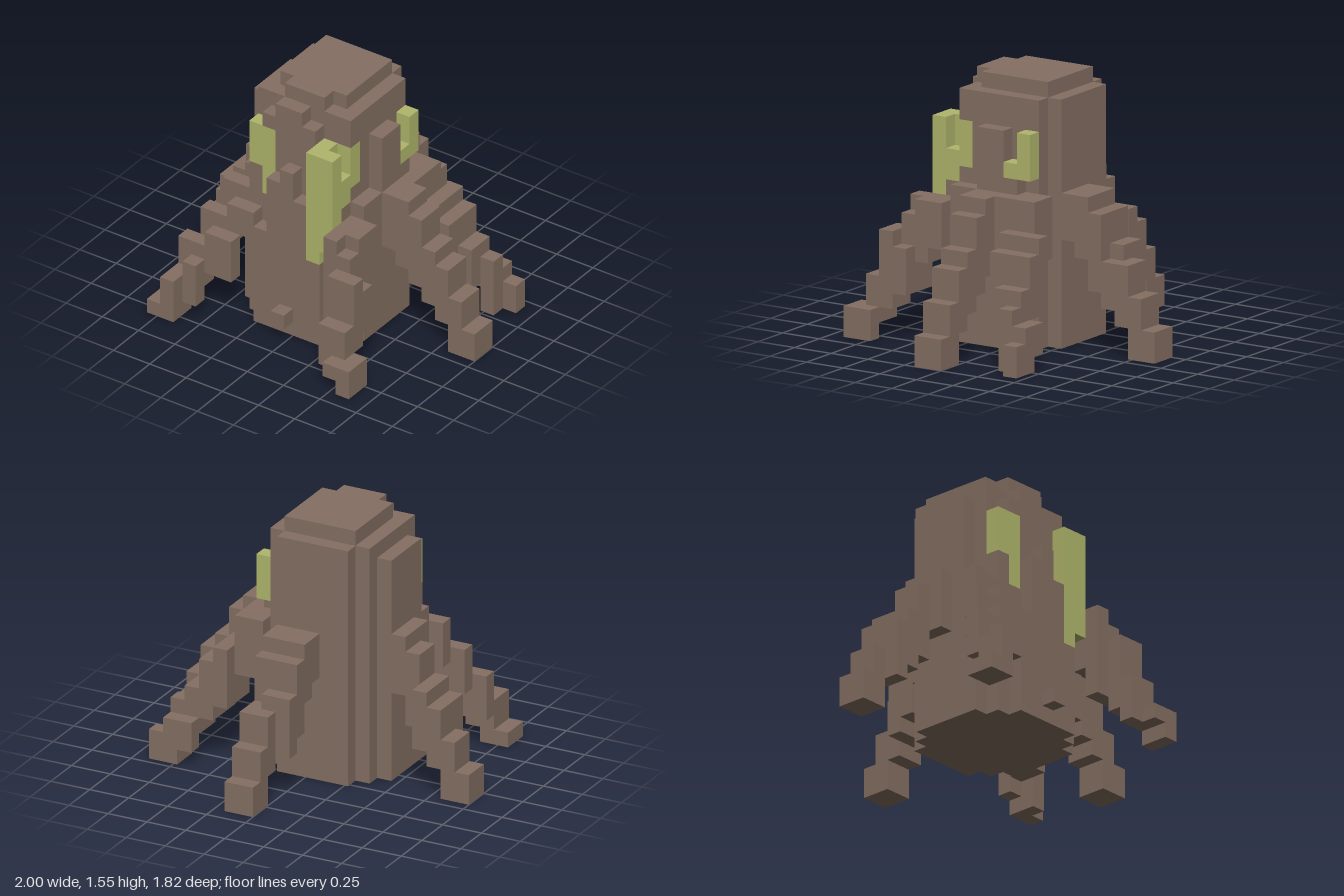
import * as THREE from 'three';
import { mergeGeometries } from 'three/addons/utils/BufferGeometryUtils.js';

const U = 1 / 11; // one block

export function createModel() {
  const bark = new THREE.MeshStandardMaterial({ color: 0x846f62 });
  bark.name = 'bark brown';
  const glow = new THREE.MeshStandardMaterial({ color: 0xb0b66c });
  glow.name = 'moss green';

  // Block grid: each cell remembers the part it belongs to; later fills replace earlier ones
  const cells = new Map();
  const key = (x, y, z) => `${x},${y},${z}`;
  const fill = (part, x0, x1, y0, y1, z0, z1) => {
    for (let x = x0; x < x1; x++)
      for (let y = y0; y < y1; y++)
        for (let z = z0; z < z1; z++) cells.set(key(x, y, z), { part, p: [x, y, z] });
  };
  const fillAll = (part, boxes) => boxes.forEach((b) => fill(part, ...b));

  // Stump with stepped corners
  fillAll('trunk', [
    [-3, 2, 0, 15, -3, -2],
    [-4, 3, 0, 15, -2, 4],
    [-5, -4, 0, 15, -1, 3],
    [-5, -4, 0, 10, 3, 4],
    [3, 4, 0, 10, -1, 4],
    [3, 4, 10, 14, 0, 2],
    [3, 4, 10, 11, -1, 0],
    [-4, 3, 0, 10, 4, 5],
    [-4, -3, 10, 11, 4, 5],
    [-3, 1, 10, 15, 4, 5],
  ]);

  // Broken bark plate on the front, one column per step
  [7, 11, 12, 10, 6].forEach((top, i) => fill('frontBark', i - 3, i - 2, 0, top, 5, 6));
  fill('barkKnob', -1, 0, 1, 2, 6, 7);

  // Rounded top
  fillAll('crown', [
    [-4, 3, 15, 16, -2, 4],
    [-3, 2, 15, 16, -3, -2],
    [-2, 0, 15, 16, 4, 5],
    [-3, 2, 16, 17, -2, 3],
    [-2, 1, 16, 17, 3, 4],
  ]);

  // Root legs, stepping down and outward
  fillAll('backLeg', [
    [-1, 2, 7, 10, -4, -3],
    [-1, 2, 6, 10, -5, -4],
    [-1, 2, 4, 9, -6, -5],
    [-1, 1, 3, 7, -7, -6],
    [1, 2, 3, 6, -7, -6],
    [0, 2, 2, 6, -8, -7],
    [0, 2, 0, 4, -9, -8],
    [0, 2, 0, 2, -10, -9],
  ]);
  fillAll('leftLeg', [
    [4, 5, 6, 10, 0, 2],
    [5, 6, 5, 10, 0, 2],
    [6, 7, 4, 9, 0, 2],
    [7, 8, 3, 7, 0, 2],
    [8, 9, 2, 6, 0, 2],
    [9, 10, 0, 4, 0, 2],
    [10, 11, 0, 2, 0, 2],
  ]);
  fillAll('rightLeg', [
    [-6, -5, 6, 10, -1, 2],
    [-7, -6, 4, 9, -1, 1],
    [-8, -7, 3, 7, -2, 1],
    [-9, -8, 2, 6, -2, 1],
    [-10, -9, 0, 4, -2, 0],
    [-11, -10, 0, 2, -2, 0],
  ]);
  fillAll('backLeftLeg', [
    [3, 4, 6, 10, -3, -1],
    [4, 5, 6, 10, -3, 0],
    [5, 6, 4, 8, -4, -1],
    [6, 7, 3, 7, -4, -1],
    [7, 8, 2, 5, -4, -2],
    [7, 8, 1, 3, -5, -4],
    [8, 9, 0, 4, -4, -3],
    [8, 9, 0, 3, -5, -4],
    [9, 10, 0, 2, -5, -4],
  ]);
  fillAll('frontLeftLeg', [
    [3, 5, 6, 9, 4, 5],
    [3, 5, 5, 9, 5, 6],
    [3, 5, 3, 8, 6, 7],
    [5, 6, 3, 6, 6, 7],
    [3, 4, 6, 9, 6, 7],
    [4, 6, 2, 7, 7, 8],
    [4, 6, 1, 4, 8, 9],
    [6, 7, 0, 2, 8, 10],
    [5, 6, 1, 2, 9, 10],
  ]);
  fillAll('frontRightLeg', [
    [-6, -4, 6, 9, 4, 5],
    [-5, -3, 6, 8, 5, 6],
    [-7, -5, 4, 7, 5, 6],
    [-6, -4, 3, 6, 6, 7],
    [-8, -6, 2, 5, 6, 7],
    [-7, -6, 1, 4, 7, 8],
    [-8, -7, 0, 3, 7, 9],
    [-9, -8, 0, 1, 7, 9],
  ]);

  // Green patches
  fillAll('rightEye', [
    [-4, -2, 11, 14, 4, 5],
    [-3, -2, 9, 11, 4, 5],
  ]);
  fillAll('leftEye', [
    [1, 2, 6, 14, 5, 6],
    [2, 3, 7, 14, 5, 6],
    [1, 2, 10, 14, 4, 5],
    [2, 3, 10, 12, 4, 5],
    [2, 3, 11, 14, 3, 4],
  ]);
  fillAll('sideMoss', [
    [3, 4, 11, 14, -2, -1],
    [3, 4, 11, 12, -1, 0],
  ]);

  // One square per exposed block side
  const sides = [
    [0, 0, 1, 0, 0], [0, 0, -1, 0, Math.PI],
    [1, 0, 0, 0, Math.PI / 2], [-1, 0, 0, 0, -Math.PI / 2],
    [0, 1, 0, -Math.PI / 2, 0], [0, -1, 0, Math.PI / 2, 0],
  ].map(([dx, dy, dz, rx, ry]) => ({
    d: [dx, dy, dz],
    geo: new THREE.PlaneGeometry(U, U).rotateX(rx).rotateY(ry)
      .translate((dx * U) / 2, (dy * U) / 2, (dz * U) / 2),
  }));
  const faces = {};
  for (const { part, p: [x, y, z] } of cells.values())
    for (const { d, geo } of sides)
      if (!cells.has(key(x + d[0], y + d[1], z + d[2])))
        (faces[part] ??= []).push(geo.clone().translate((x + 0.5) * U, (y + 0.5) * U, (z + 0.5) * U));

  const model = new THREE.Group();
  model.name = 'stumpCreature';
  const green = ['rightEye', 'leftEye', 'sideMoss'];
  for (const [name, list] of Object.entries(faces)) {
    const mesh = new THREE.Mesh(mergeGeometries(list), green.includes(name) ? glow : bark);
    mesh.name = name;
    model.add(mesh);
  }
  return model;
}
